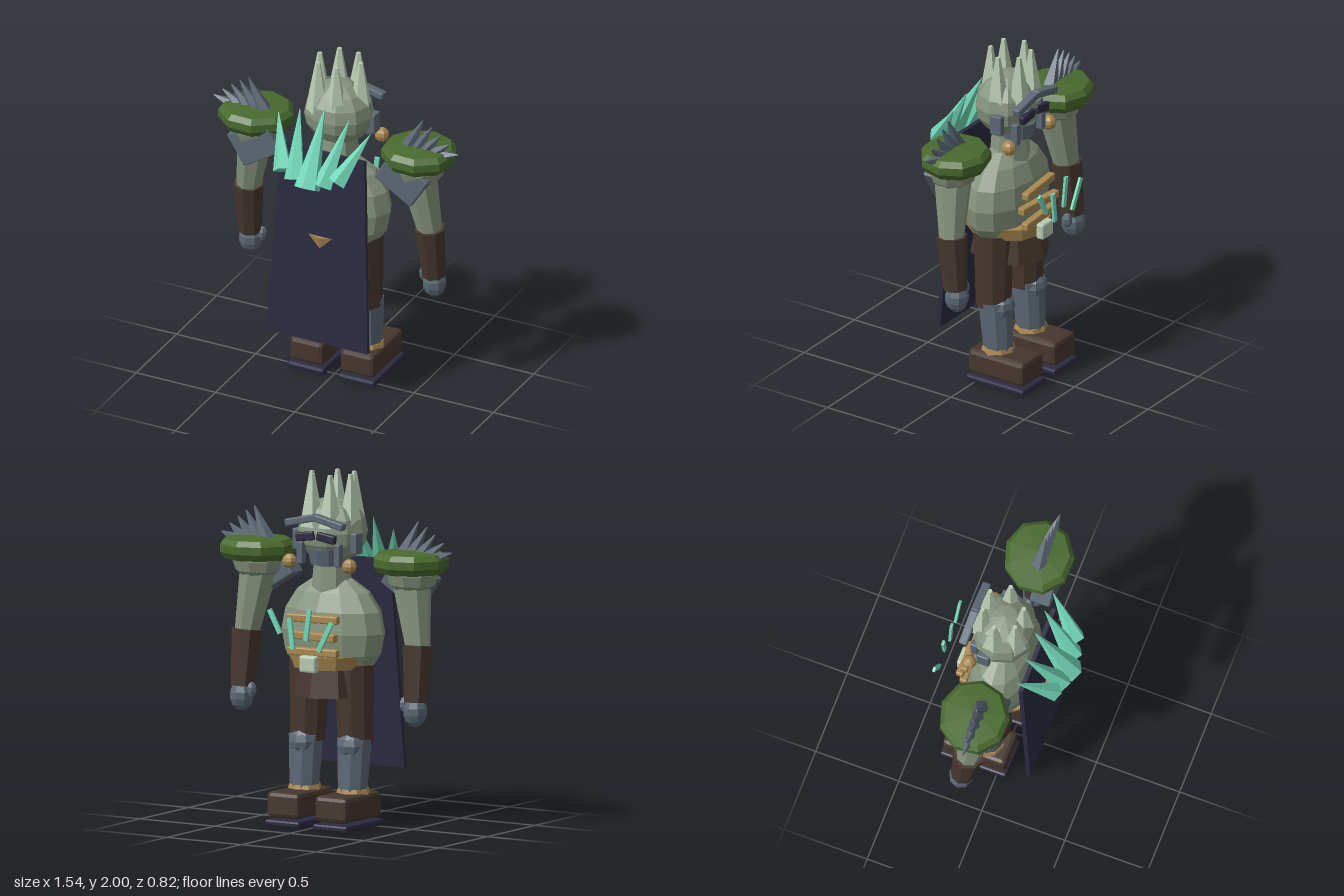
import * as THREE from 'three';
import { RoundedBoxGeometry } from 'three/addons/geometries/RoundedBoxGeometry.js';

const mat = (name, color) => {
  const m = new THREE.MeshStandardMaterial({ color, flatShading: true });
  m.name = name;
  return m;
};

export function createModel() {
  const skin = mat('sage skin', 0x87957f);
  const hairMat = mat('pale sage', 0xb9cbb2);
  const steel = mat('blue steel', 0x5c6874);
  const navy = mat('dark navy', 0x2b2a40);
  const brown = mat('brown leather', 0x46372f);
  const gold = mat('dull gold', 0xa98850);
  const moss = mat('moss green', 0x486a2e);
  const crystal = mat('mint crystal', 0x72d8b8);

  const root = new THREE.Group();
  root.name = 'armouredBrute';

  const add = (name, geo, material, pos = [0, 0, 0], rot = [0, 0, 0], scale = [1, 1, 1]) => {
    const m = new THREE.Mesh(geo, material);
    m.name = name;
    m.position.set(...pos);
    m.rotation.set(...rot);
    m.scale.set(...scale);
    root.add(m);
    return m;
  };
  // Tapered limb, spike or crystal from point a (radius ra) to point b (radius rb)
  const taper = (name, material, a, b, ra, rb, sides) => {
    const from = new THREE.Vector3(...a), dir = new THREE.Vector3(...b).sub(from);
    const m = add(name, new THREE.CylinderGeometry(rb, ra, dir.length(), sides), material);
    m.position.copy(from).addScaledVector(dir, 0.5);
    m.quaternion.setFromUnitVectors(new THREE.Vector3(0, 1, 0), dir.normalize());
    return m;
  };
  const box = (name, material, size, pos, rot, r = 0.008) =>
    add(name, new RoundedBoxGeometry(...size, 1, r), material, pos, rot);
  const ball = (name, material, r, pos, scale, w = 10, h = 7) =>
    add(name, new THREE.SphereGeometry(r, w, h), material, pos, [0, 0, 0], scale);

  // Torso, belt and flared skirt
  ball('belly', skin, 1, [0, 1.1, -0.045], [0.33, 0.32, 0.19], 12, 8);
  taper('neck', skin, [0, 1.3, -0.06], [0, 1.55, -0.06], 0.12, 0.1, 8);
  add('belt', new THREE.CylinderGeometry(0.255, 0.235, 0.075, 10), gold, [0, 0.937, -0.045]);
  add('skirt', new THREE.CylinderGeometry(0.2, 0.235, 0.18, 8), brown,
    [0, 0.83, -0.057], [0, 0, 0], [0.9, 1, 1]);
  box('buckle', hairMat, [0.11, 0.095, 0.05], [0, 0.937, -0.297], undefined, 0.012);

  // Gold chest bars
  [[1.19, 0.1], [1.09, -0.08], [1.0, 0.07]].forEach(([y, ry]) =>
    box('chestBar', gold, [0.32, 0.046, 0.045], [0, y, -0.255], [0, ry, 0]));

  // Fan of slim floating strips: x, y, length, lean
  [[0.165, 1.18, 0.15, -0.5], [0.055, 1.12, 0.18, -0.12],
    [-0.055, 1.175, 0.18, 0.14], [-0.17, 1.115, 0.19, 0.48]].forEach(([x, y, len, lean]) =>
    add('strip', new THREE.BoxGeometry(0.028, len, 0.015), crystal, [x, y, -0.397], [0, 0, lean]));

  // Head and crown of blunt spikes
  ball('head', skin, 1, [0, 1.67, -0.05], [0.205, 0.19, 0.185], 10, 8);
  [[-0.055, -0.165], [0.065, -0.165], [-0.13, -0.068], [0.13, -0.066], [-0.085, 0.042], [0.033, 0.05]]
    .forEach(([x, z]) => taper('hairSpike', hairMat, [x, 1.7, z], [x, 2, z], 0.07, 0.014, 5));

  // Jaw guard
  add('jawGuard', new THREE.CylinderGeometry(0.115, 0.1, 0.09, 10), steel, [0, 1.53, -0.105]);
  add('jawLining', new THREE.CylinderGeometry(0.075, 0.075, 0.01, 10), navy, [0, 1.484, -0.105]);

  // Cape, widening towards the hem
  const capeGeo = new THREE.BoxGeometry(1, 1.19, 0.025);
  const cp = capeGeo.attributes.position;
  for (let i = 0; i < cp.count; i++) cp.setX(i, cp.getX(i) * (cp.getY(i) > 0 ? 0.53 : 0.636));
  add('cape', capeGeo, navy, [0, 0.905, 0.177], [-0.057, 0, 0]);

  // Crystal collar behind the shoulders
  taper('collarCrystal', crystal, [0, 1.36, 0.345], [0, 1.765, 0.13], 0.075, 0.002, 6);

  for (const s of [1, -1]) {
    const p = (x, y, z) => [x * s, y, z];

    // Collar crystals, sides of the fan
    taper('collarCrystal', crystal, p(0.088, 1.385, 0.325), p(0.155, 1.73, 0.13), 0.062, 0.002, 5);
    taper('collarCrystal', crystal, p(0.17, 1.42, 0.31), p(0.29, 1.675, 0.13), 0.058, 0.002, 5);

    // Face armour
    box('brow', steel, [0.2, 0.042, 0.05], p(0.095, 1.742, -0.232), [0, 0, -0.22 * s]);
    box('eyeSlit', navy, [0.12, 0.05, 0.035], p(0.07, 1.65, -0.225), [0, 0, -0.15 * s]);
    box('earGuard', steel, [0.04, 0.12, 0.075], p(0.195, 1.615, -0.105));
    box('cheekGuard', steel, [0.04, 0.13, 0.045], p(0.125, 1.55, -0.185));
    ball('earring', gold, 0.043, p(0.2, 1.495, -0.19), undefined, 8, 6);

    // Shoulder pad with its row of spikes
    const pad = [[0, -0.04], [0.19, -0.058], [0.218, -0.02], [0.218, 0.025], [0.19, 0.055], [0, 0.07]]
      .map(([x, y]) => new THREE.Vector2(x, y));
    add('shoulderPad', new THREE.LatheGeometry(pad, 9), moss, p(0.513, 1.527, -0.04), [0, 0.3, 0], [1, 1, 0.92]);
    for (let i = 0; i < 5; i++) {
      const t = i / 4;
      taper('shoulderSpike', steel, p(0.45 + 0.2 * t, 1.555, -0.02),
        p(0.55 + 0.22 * t, 1.76 - 0.11 * t - 0.055 * t * t, -0.012), 0.052 - 0.012 * t, 0.004, 5);
    }
    box('shoulderPlate', steel, [0.27, 0.21, 0.12], p(0.465, 1.41, 0.042), [0, 0, -0.56 * s]);
    ball('shoulder', skin, 0.155, p(0.515, 1.46, -0.025), [1, 0.8, 0.95], 9, 6);

    // Arm, bracer and fist
    taper('upperArm', skin, p(0.575, 1.03, -0.055), p(0.505, 1.45, -0.02), 0.07, 0.115, 8);
    taper('bracer', brown, p(0.58, 0.74, -0.087), p(0.572, 1.06, -0.053), 0.068, 0.09, 8);
    ball('fist', steel, 0.07, p(0.58, 0.69, -0.095), [1, 1.28, 1], 8, 7);
    ball('thumb', steel, 0.03, p(0.51, 0.725, -0.1), [1, 1.5, 1], 6, 5);

    // Leg and boot
    taper('thigh', brown, p(0.16, 0.47, -0.058), p(0.15, 0.92, -0.055), 0.102, 0.115, 9);
    taper('shin', steel, p(0.162, 0.17, -0.095), p(0.162, 0.5, -0.073), 0.083, 0.1, 9);
    ball('kneeGuard', steel, 0.075, p(0.162, 0.465, -0.12), [1.1, 1, 0.9], 8, 6);
    add('ankleRing', new THREE.CylinderGeometry(0.09, 0.105, 0.05, 8), gold, p(0.162, 0.195, -0.09));
    box('boot', brown, [0.215, 0.148, 0.38], p(0.16, 0.122, -0.14), undefined, 0.025);
    box('sole', navy, [0.23, 0.038, 0.395], p(0.16, 0.019, -0.14), undefined, 0.012);
  }
  return root;
}
